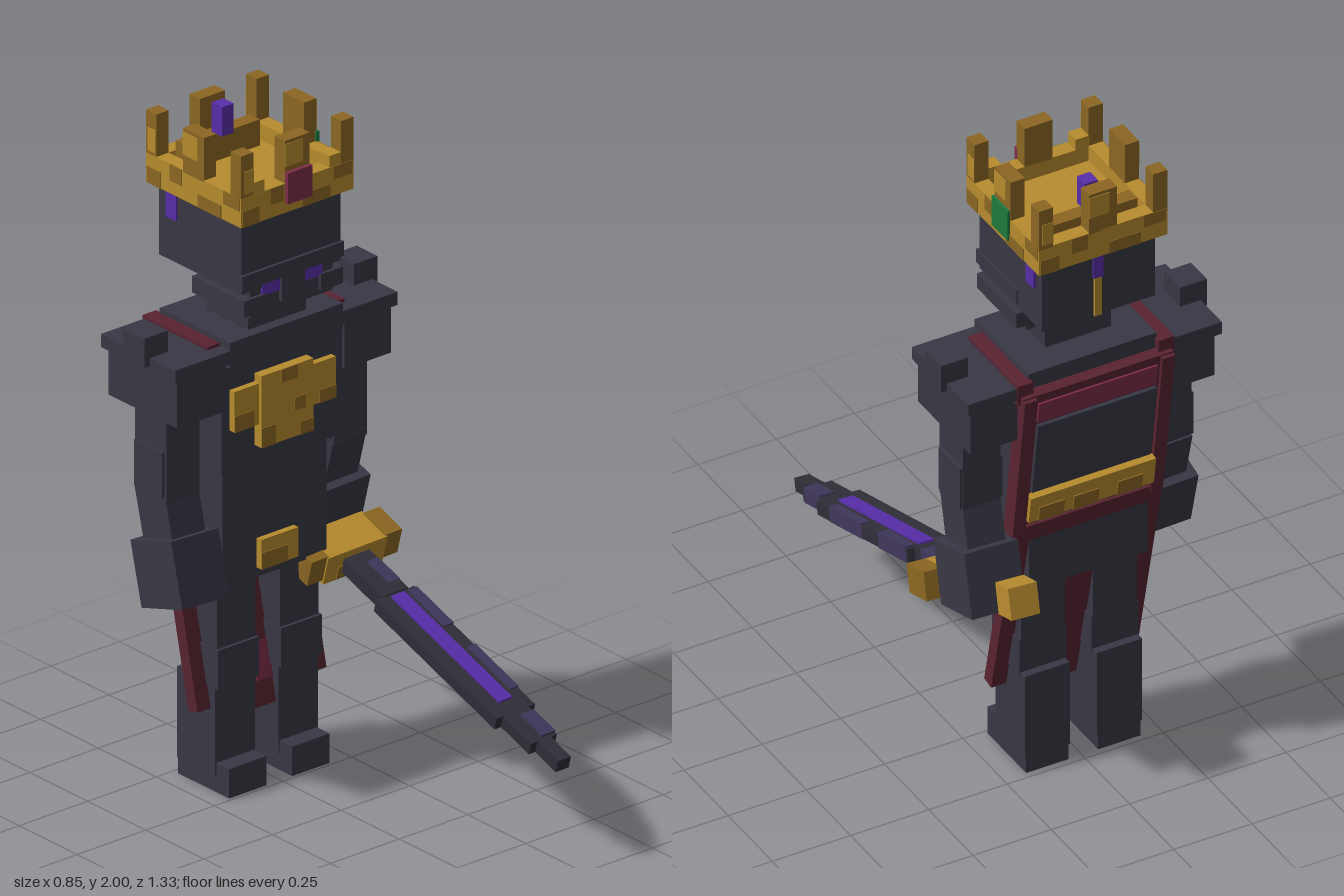
import * as THREE from 'three';

const mat = (name, color) => {
  const m = new THREE.MeshStandardMaterial({ color });
  m.name = name;
  return m;
};

export function createModel() {
  const iron = mat('dark iron', 0x383744);
  const gold = mat('gold', 0xb88c2e);
  const oldGold = mat('tarnished gold', 0x8c6722);
  const cloth = mat('dark red cloth', 0x592431);
  const trim = mat('crimson', 0x7e2d48);
  const violet = mat('violet gem', 0x582eaa);
  const green = mat('green gem', 0x1f7a3e);
  const steel = mat('black steel', 0x302e38);
  const sheen = mat('violet steel', 0x40375a);

  const model = new THREE.Group();
  model.name = 'armouredKing';

  const group = (name, parent = model, pos = [0, 0, 0], rx = 0, ry = 0, rz = 0) => {
    const g = new THREE.Group();
    g.name = name;
    g.position.set(...pos);
    g.rotation.set(rx, ry, rz);
    parent.add(g);
    return g;
  };
  // Box given by its limits on each axis
  const box = (parent, name, m, x0, x1, y0, y1, z0, z1) => {
    const mesh = new THREE.Mesh(new THREE.BoxGeometry(x1 - x0, y1 - y0, z1 - z0), m);
    mesh.position.set((x0 + x1) / 2, (y0 + y1) / 2, (z0 + z1) / 2);
    mesh.name = name;
    parent.add(mesh);
    return mesh;
  };

  // Torso
  const torso = group('torso');
  box(torso, 'chest', iron, -0.22, 0.23, 1.0, 1.34, -0.51, -0.255);
  box(torso, 'collar', iron, -0.205, 0.205, 1.33, 1.41, -0.54, -0.235);
  box(torso, 'waist', iron, -0.2, 0.18, 0.64, 1.0, -0.5, -0.275);
  box(torso, 'neck', iron, -0.11, 0.1, 1.4, 1.49, -0.45, -0.27);
  box(torso, 'chestEmblem', gold, -0.1, 0.09, 1.06, 1.28, -0.26, -0.225);
  for (const [x0, x1] of [[-0.19, -0.1], [0.09, 0.18]])
    box(torso, 'emblemWing', gold, x0, x1, 1.13, 1.255, -0.26, -0.235);
  box(torso, 'buckle', gold, -0.075, 0.06, 0.67, 0.76, -0.28, -0.255);
  for (const [x0, x1, y0, y1, z] of [
    [-0.1, -0.05, 1.06, 1.12, -0.225], [0.04, 0.09, 1.06, 1.1, -0.225],
    [-0.03, 0.03, 1.24, 1.28, -0.225], [0.02, 0.06, 1.14, 1.18, -0.225],
    [-0.19, -0.12, 1.13, 1.18, -0.235], [0.12, 0.18, 1.13, 1.17, -0.235],
    [-0.075, 0.02, 0.67, 0.72, -0.255]])
    box(torso, 'emblemTarnish', oldGold, x0, x1, y0, y1, z, z + 0.003);

  // Cape in two leaning panels, with shoulder straps
  const cape = group('cape');
  for (const s of [-1, 1])
    box(cape, 'strap', cloth, s * 0.225 - 0.025, s * 0.225 + 0.025, 1.33, 1.395, -0.56, -0.28);
  const upper = group('upperCape', cape, [0, 1.1, -0.517], -0.14);
  box(upper, 'upperPanel', cloth, -0.24, 0.24, -0.26, 0.26, -0.02, 0.02);
  box(upper, 'collarTrim', trim, -0.19, 0.19, 0.16, 0.23, -0.026, -0.018);
  box(upper, 'backPlate', iron, -0.19, 0.19, -0.1, 0.15, -0.032, -0.018);
  box(upper, 'backBelt', gold, -0.2, 0.2, -0.2, -0.11, -0.045, -0.018);
  for (const x of [-0.16, -0.02, 0.09])
    box(upper, 'beltTarnish', oldGold, x, x + 0.08, -0.2, -0.15, -0.049, -0.044);
  for (const s of [-1, 1]) {
    box(upper, 'capeEdge', cloth, s * 0.22 - 0.02, s * 0.22 + 0.02, -0.25, 0.255, -0.032, 0.02);
    for (const y of [-0.22, 0.02])
      box(upper, 'edgePatch', trim, s * 0.212 - 0.022, s * 0.212 + 0.022, y, y + 0.1, 0.019, 0.023);
  }
  const lower = group('lowerCape', cape, [0, 0.56, -0.424], -0.22);
  box(lower, 'lowerPanel', cloth, -0.24, 0.23, -0.32, 0.32, -0.02, 0.02);
  box(lower, 'capePoint', cloth, -0.05, 0.04, -0.365, -0.32, -0.02, 0.02);
  for (const [x0, x1, y] of [[-0.02, 0.04, -0.29], [-0.04, 0.01, -0.02]])
    box(lower, 'clothPatch', trim, x0, x1, y, y + 0.11, 0.019, 0.023);

  // Legs
  for (const s of [-1, 1]) {
    const leg = group(s < 0 ? 'rightLeg' : 'leftLeg', model, [s * 0.115 - 0.005, 0, 0]);
    box(leg, 'thigh', iron, -0.07, 0.07, 0.4, 0.65, -0.455, -0.31);
    box(leg, 'kneeGuard', iron, -0.075, 0.075, 0.32, 0.44, -0.455, -0.3);
    box(leg, 'shin', iron, -0.072, 0.072, 0.05, 0.33, -0.48, -0.315);
    box(leg, 'foot', iron, -0.068, 0.068, 0, 0.09, -0.48, -0.26);
  }

  // Arms, each bent at the elbow in its own direction
  for (const s of [-1, 1]) {
    const arm = group(s < 0 ? 'rightArm' : 'leftArm', model, [s * 0.305, 0, 0]);
    box(arm, 'shoulderPlate', iron, -0.085, 0.085, 1.2, 1.36, -0.54, -0.245);
    box(arm, 'shoulderCap', iron, -0.1, 0.1, 1.345, 1.385, -0.555, -0.235);
    box(arm, 'shoulderKnob', iron, s * 0.077 - 0.043, s * 0.077 + 0.043, 1.36, 1.45, -0.435, -0.345);
    box(arm, 'upperArm', iron, -0.06, 0.06, 0.93, 1.22, -0.455, -0.32);
    box(arm, 'armGuard', iron, -0.068, 0.068, 0.95, 1.09, -0.45, -0.33);
    const fore = group('forearm', arm, [0, 0.94, -0.39], s * 0.3, 0, s * 0.04);
    box(fore, 'wrist', iron, -0.06, 0.06, -0.18, 0.03, -0.065, 0.065);
    box(fore, 'gauntlet', iron, -0.085, 0.085, -0.325, -0.13, -0.092, 0.092);
  }

  // Head and helmet
  const head = group('head');
  box(head, 'skull', iron, -0.185, 0.175, 1.56, 1.79, -0.565, -0.21);
  box(head, 'brow', iron, -0.19, 0.18, 1.575, 1.62, -0.43, -0.2);
  box(head, 'jaw', iron, -0.15, 0.15, 1.475, 1.56, -0.43, -0.215);
  for (const s of [-1, 1]) {
    box(head, 'cheekGuard', iron, s * 0.14 - 0.04, s * 0.14 + 0.04, 1.49, 1.54, -0.43, -0.205);
    box(head, 'eye', violet, s * 0.075 - 0.035, s * 0.075 + 0.035, 1.535, 1.576, -0.216, -0.209);
    box(head, 'templeGem', violet, s * 0.183 - 0.008, s * 0.183, 1.69, 1.78, -0.53, -0.485);
  }
  box(head, 'noseGuard', iron, -0.045, 0.04, 1.5, 1.58, -0.22, -0.202);
  box(head, 'napeGem', violet, -0.018, 0.014, 1.69, 1.78, -0.572, -0.564);
  box(head, 'napeStrip', gold, -0.012, 0.01, 1.56, 1.69, -0.572, -0.564);

  // Crown: floor, four walls, eight prongs and gems
  const crown = group('crown', model, [-0.003, 0, -0.39]);
  box(crown, 'crownFloor', gold, -0.18, 0.18, 1.78, 1.82, -0.18, 0.18);
  for (let i = 0; i < 4; i++) {
    const side = group('crownSide', crown, [0, 0, 0], 0, i * Math.PI / 2);
    box(side, 'crownWall', gold, -0.205, 0.16, 1.78, 1.87, 0.16, 0.205);
    box(side, 'cornerProng', oldGold, -0.205, -0.16, 1.865, 2.0, 0.16, 0.205);
    box(side, 'middleProng', oldGold, -0.045, 0.045, 1.865, 2.0, 0.16, 0.205);
    box(side, 'prongShine', gold, -0.045, 0.02, 1.92, 1.99, 0.204, 0.207);
    box(side, 'cornerShine', gold, -0.195, -0.16, 1.88, 1.95, 0.204, 0.207);
    for (const [x, w, y0, y1] of [[-0.2, 0.06, 1.78, 1.83], [-0.1, 0.05, 1.82, 1.87],
      [0.02, 0.1, 1.78, 1.82], [0.13, 0.07, 1.83, 1.87]])
      box(side, 'crownTarnish', oldGold, x, x + w, y0, y1, 0.204, 0.207);
  }
  for (const s of [-1, 1])
    box(crown, 'frontStep', gold, s * 0.14 - 0.022, s * 0.14 + 0.022, 1.865, 1.905, 0.16, 0.204);
  box(crown, 'backStep', oldGold, -0.135, 0.135, 1.82, 1.9, -0.16, -0.115);
  box(crown, 'frontGem', trim, -0.045, 0.045, 1.81, 1.905, 0.2, 0.218);
  box(crown, 'sideGem', green, 0.2, 0.212, 1.8, 1.9, -0.04, 0.05);
  box(crown, 'backGem', violet, -0.02, 0.022, 1.9, 1.99, -0.14, -0.095);

  // Sword held low, blade along its own +z
  const sword = group('sword', model, [0.267, 0.615, -0.31], 0.31, -0.02, 0.05);
  box(sword, 'grip', steel, -0.025, 0.025, -0.025, 0.025, -0.27, 0.05);
  box(sword, 'pommel', gold, -0.045, 0.045, -0.047, 0.047, -0.345, -0.265);
  box(sword, 'guard', gold, -0.105, 0.105, -0.048, 0.048, -0.06, 0.06);
  for (const s of [-1, 1])
    box(sword, 'guardTip', oldGold, s * 0.13 - 0.03, s * 0.13 + 0.03, -0.036, 0.05, -0.05, 0.055);
  box(sword, 'guardTarnish', oldGold, -0.06, 0.04, -0.045, 0.0, 0.059, 0.063);
  for (const [name, w, t, z0, z1] of [['ricasso', 0.045, 0.024, 0.05, 0.24],
    ['blade', 0.068, 0.02, 0.24, 0.8], ['bladeTaper', 0.046, 0.019, 0.8, 0.93],
    ['bladeTip', 0.023, 0.02, 0.93, 1.025]])
    box(sword, name, steel, -w, w, -t, t, z0, z1);
  box(sword, 'runeStrip', violet, -0.023, 0.023, 0.019, 0.027, 0.25, 0.75);
  for (const z of [0.32, 0.55])
    box(sword, 'lowerRune', violet, -0.023, 0.023, -0.027, -0.019, z, z + 0.1);
  for (const [x0, x1, z0, z1] of [[0.005, 0.046, 0.1, 0.2], [0.035, 0.069, 0.25, 0.42],
    [0.04, 0.069, 0.52, 0.72], [0.0, 0.047, 0.82, 0.92]])
    box(sword, 'bladeSheen', sheen, x0, x1, -0.0215, 0.0255, z0, z1);

  return model;
}
